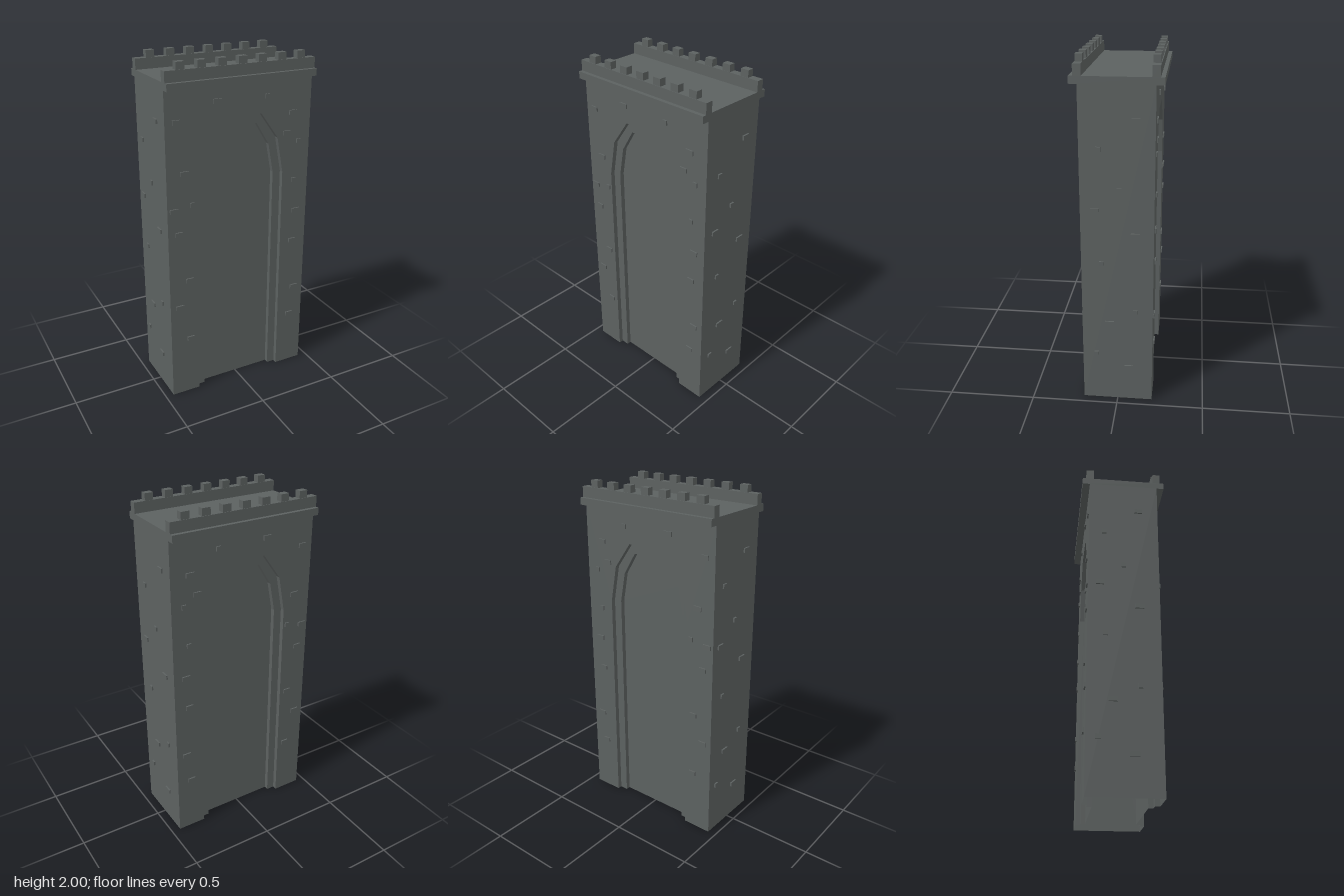
import * as THREE from 'three';

const HALF_W = 0.449, HALF_D = 0.2, WALL_H = 1.86;

// Right half of each arch outline, from the ground to the crown
const outerArch = mirrorArch([[0.276, 0], [0.276, 1.315], [0.236, 1.525], [0.128, 1.675]]);
const innerArch = mirrorArch([[0.227, 0], [0.227, 1.315], [0.194, 1.487], [0.114, 1.617]]);

// Projecting bricks: position along the wall, height, width
const faceBricks = [
  [-0.145, 1.775, 0.05], [0.163, 1.77, 0.026], [-0.384, 1.688, 0.045], [0.333, 1.66, 0.05],
  [0.293, 1.545, 0.045], [0.375, 1.488, 0.026], [-0.344, 1.403, 0.05], [0.351, 1.255, 0.026],
  [-0.302, 1.217, 0.026], [-0.41, 1.197, 0.05], [0.375, 1.06, 0.05], [-0.384, 1.055, 0.045],
  [0.358, 0.865, 0.045], [-0.325, 0.757, 0.045], [-0.391, 0.593, 0.05], [0.386, 0.54, 0.05],
  [-0.325, 0.37, 0.045], [0.358, 0.35, 0.045],
];
const sideBricks = [
  [-0.1, 1.68, 0.045], [0.098, 1.527, 0.028], [-0.013, 1.307, 0.026], [0.119, 1.19, 0.046],
  [-0.1, 1.05, 0.05], [0.087, 0.878, 0.026], [-0.1, 0.582, 0.025], [0.045, 0.505, 0.05],
  [0.122, 0.304, 0.026], [-0.066, 0.217, 0.05],
];

// Full outline running up the left side and down the right
function mirrorArch(half) {
  return [...half.map(([x, y]) => [-x, y]), ...half.slice().reverse()];
}

function shapeOf(points) {
  return new THREE.ShapeGeometry(new THREE.Shape(points.map(([x, y]) => new THREE.Vector2(x, y))));
}

// Strip lining an arch between two depths
function revealGeometry(path, zFront, zBack) {
  const pos = [];
  for (let i = 0; i < path.length - 1; i++) {
    const [x0, y0] = path[i], [x1, y1] = path[i + 1];
    pos.push(x0, y0, zFront, x0, y0, zBack, x1, y1, zBack);
    pos.push(x0, y0, zFront, x1, y1, zBack, x1, y1, zFront);
  }
  const geo = new THREE.BufferGeometry();
  geo.setAttribute('position', new THREE.Float32BufferAttribute(pos, 3));
  geo.computeVertexNormals();
  return geo;
}

export function createModel() {
  const stone = new THREE.MeshStandardMaterial({ color: 0x5c6160, side: THREE.DoubleSide });
  stone.name = 'greyStone';
  const model = new THREE.Group();
  model.name = 'archedTower';

  function add(parent, name, geo, x = 0, y = 0, z = 0) {
    const mesh = new THREE.Mesh(geo, stone);
    mesh.name = name;
    mesh.position.set(x, y, z);
    parent.add(mesh);
    return mesh;
  }
  const box = (parent, name, w, h, d, x, y, z) =>
    add(parent, name, new THREE.BoxGeometry(w, h, d), x, y, z);

  // Wall with a two-step blind arch that reaches the ground
  function archedWall(name) {
    const wall = new THREE.Group();
    wall.name = name;
    const z0 = HALF_D, z1 = HALF_D - 0.027, z2 = HALF_D - 0.054;
    add(wall, 'wallFace', shapeOf([
      [-HALF_W, 0], ...outerArch, [HALF_W, 0], [HALF_W, WALL_H], [-HALF_W, WALL_H],
    ]), 0, 0, z0);
    add(wall, 'outerReveal', revealGeometry(outerArch, z0, z1));
    add(wall, 'archStep', shapeOf([...outerArch, ...innerArch.slice().reverse()]), 0, 0, z1);
    add(wall, 'innerReveal', revealGeometry(innerArch, z1, z2));
    add(wall, 'archPanel', shapeOf(innerArch), 0, 0, z2);
    model.add(wall);
    return wall;
  }
  archedWall('frontWall');
  archedWall('backWall').rotation.y = Math.PI;

  // Plain side walls, cornice slab and roof
  for (const s of [1, -1]) {
    const side = add(model, s > 0 ? 'leftWall' : 'rightWall',
      new THREE.PlaneGeometry(HALF_D * 2, WALL_H), s * HALF_W, WALL_H / 2, 0);
    side.rotation.y = s * Math.PI / 2;
  }
  box(model, 'corniceRoof', HALF_W * 2, 0.04, 0.486, 0, 1.88, 0);

  // Parapets with merlons
  for (const s of [1, -1]) {
    const parapet = new THREE.Group();
    parapet.name = s > 0 ? 'frontParapet' : 'backParapet';
    box(parapet, 'parapetWall', HALF_W * 2, 0.06, 0.043, 0, 1.93, s * 0.199);
    for (let i = 0; i < 7; i++) {
      box(parapet, 'merlon', 0.049, 0.045, 0.038, (i - 3) * 0.12, 1.9775, s * 0.198);
    }
    model.add(parapet);
  }

  // Bricks standing slightly proud of every wall
  const bricks = new THREE.Group();
  bricks.name = 'bricks';
  for (const s of [1, -1]) {
    for (const [x, y, w] of faceBricks) {
      box(bricks, 'faceBrick', w, 0.026, 0.016, x, y, s * HALF_D);
    }
    for (const [z, y, w] of sideBricks) {
      box(bricks, 'sideBrick', 0.018, 0.025, w, s * HALF_W, y, s > 0 ? z : -z - 0.015);
    }
  }
  model.add(bricks);

  model.position.x = -0.002;
  return model;
}
